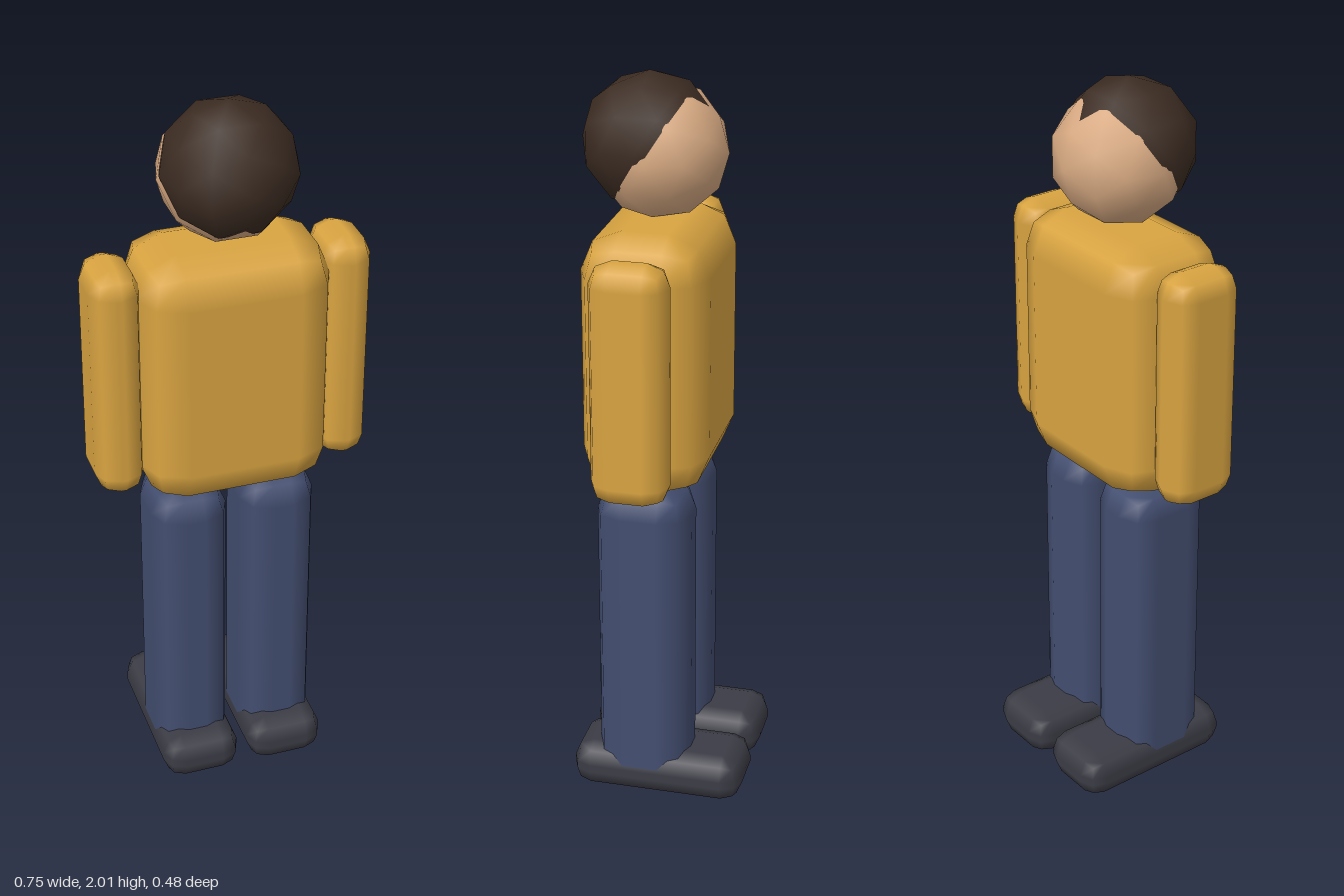
import * as THREE from 'three';
import { RoundedBoxGeometry } from 'three/addons/geometries/RoundedBoxGeometry.js';

const material = (name, color) => {
  const m = new THREE.MeshStandardMaterial({ color });
  m.name = name;
  return m;
};

export function createModel() {
  const model = new THREE.Group();
  model.name = 'blockFigure';

  const shirt = material('mustardShirt', 0xd9a441);
  const denim = material('blueDenim', 0x434e70);
  const leather = material('darkShoe', 0x3c3c46);
  const skin = material('skin', 0xd8aa82);
  const brown = material('brownHair', 0x3c2c22);

  const add = (name, geometry, mat, x, y, z) => {
    const mesh = new THREE.Mesh(geometry, mat);
    mesh.name = name;
    mesh.position.set(x, y, z);
    model.add(mesh);
  };

  // Soft-edged block between two bounds on each axis; a one-step rounding
  // pulls each side in by about 0.095 of the radius, so grow to compensate
  const block = (name, mat, [x0, x1], [y0, y1], [z0, z1], r) => {
    const grow = 0.19 * r;
    const geometry = new RoundedBoxGeometry(x1 - x0 + grow, y1 - y0 + grow, z1 - z0 + grow, 1, r);
    add(name, geometry, mat, (x0 + x1) / 2, (y0 + y1) / 2, (z0 + z1) / 2);
  };

  // Torso
  block('torso', shirt, [-0.248, 0.248], [0.92, 1.61], [-0.128, 0.193], 0.11);

  // Limbs, mirrored
  for (const [side, s] of [['left', 1], ['right', -1]]) {
    const span = (a, b) => (s > 0 ? [a, b] : [-b, -a]);
    block(side + 'Arm', shirt, span(0.247, 0.37), [0.947, 1.588], [-0.066, 0.131], 0.06);
    block(side + 'Leg', denim, span(0.026, 0.222), [0, 0.917], [-0.084, 0.16], 0.08);
    block(side + 'Shoe', leather, span(0.02, 0.229), [0.005, 0.125], [-0.24, 0.23], 0.055);
  }

  // Head, with the hair as a matching ball shifted up and away from the face
  const ball = new THREE.IcosahedronGeometry(0.18, 1);
  add('head', ball, skin, 0, 1.798, 0.029);
  add('hair', ball, brown, 0, 1.82, 0.056);

  return model;
}
